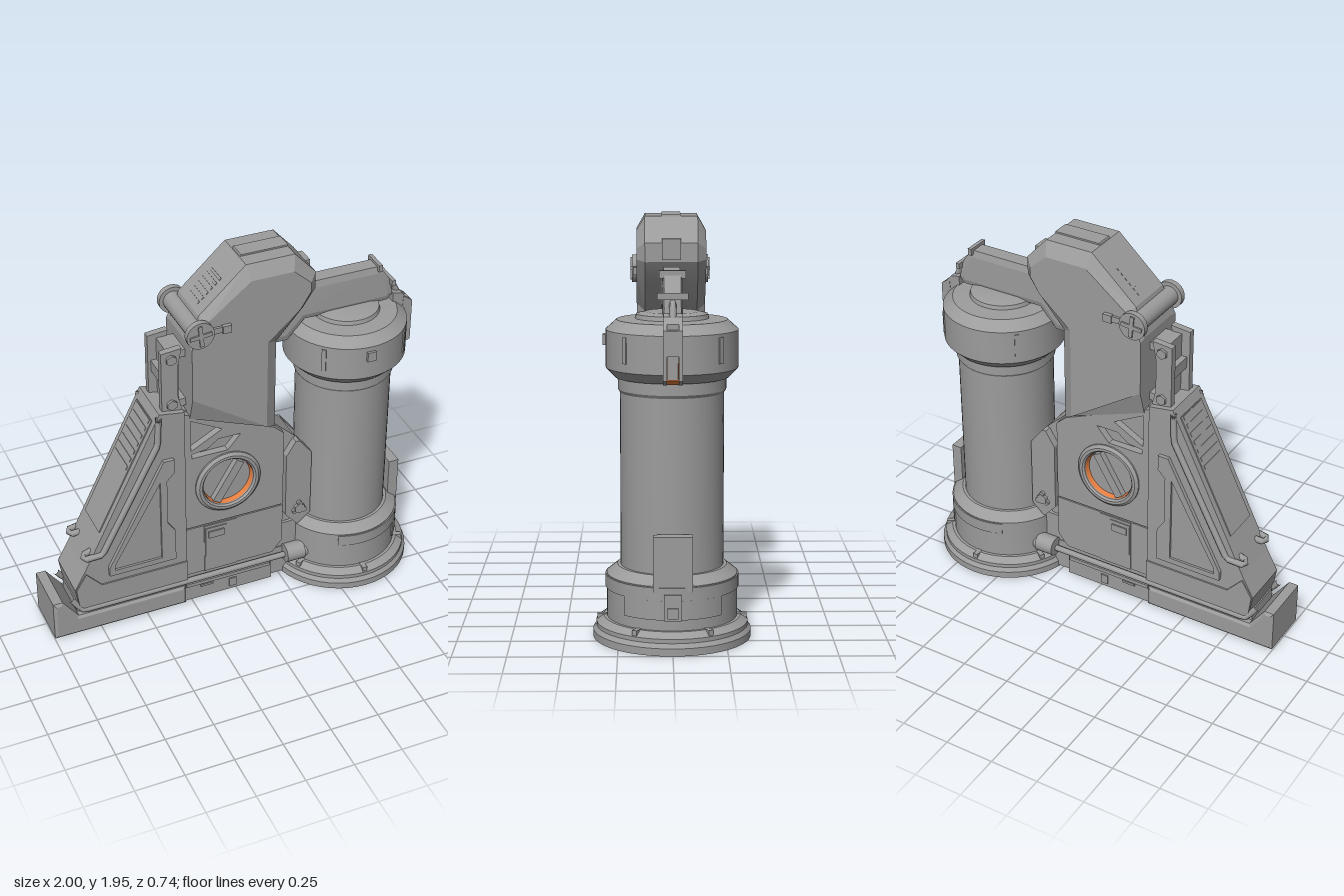
import * as THREE from 'three';
import { toCreasedNormals } from 'three/addons/utils/BufferGeometryUtils.js';

export function createModel() {
  const model = new THREE.Group();
  const grey = new THREE.MeshStandardMaterial({ color: 0x9c9c9c });
  grey.name = 'grey metal';
  const orange = new THREE.MeshStandardMaterial({ color: 0xf08444, side: THREE.DoubleSide });
  orange.name = 'orange glow';

  const add = (name, geo, mat = grey) => {
    const m = new THREE.Mesh(geo, mat);
    m.name = name;
    model.add(m);
  };
  const V = (p) => p.map(([x, y]) => new THREE.Vector2(x, y));
  // flat outline extruded between two depths
  const prism = (pts, z0, z1, holes = []) => {
    const s = new THREE.Shape(V(pts));
    s.holes = holes.map((h) => new THREE.Path(V(h)));
    return new THREE.ExtrudeGeometry(s, { depth: z1 - z0, bevelEnabled: false }).translate(0, 0, z0);
  };
  // outline with both faces tapering to an inner outline
  const taper = (outer, inner, z0, z1) => {
    const rings = [[inner, -z1], [outer, -z0], [outer, z0], [inner, z1]];
    const n = outer.length, pos = [], idx = [];
    rings.forEach(([r, z]) => r.forEach(([x, y]) => pos.push(x, y, z)));
    for (let k = 0; k < 3; k++) for (let i = 0; i < n; i++) {
      const a = k * n + i, b = k * n + (i + 1) % n;
      idx.push(a, b, b + n, a, b + n, a + n);
    }
    for (const [a, b, c] of THREE.ShapeUtils.triangulateShape(V(inner), [])) {
      idx.push(a, c, b, a + 3 * n, b + 3 * n, c + 3 * n);
    }
    const g = new THREE.BufferGeometry();
    g.setAttribute('position', new THREE.Float32BufferAttribute(pos, 3));
    g.setIndex(idx);
    return toCreasedNormals(g, 0.2);
  };
  const box = (x0, x1, y0, y1, z0, z1) =>
    new THREE.BoxGeometry(x1 - x0, y1 - y0, z1 - z0).translate((x0 + x1) / 2, (y0 + y1) / 2, (z0 + z1) / 2);
  const discZ = (r, x, y, z, len, sides = 24) =>
    new THREE.CylinderGeometry(r, r, len, sides).rotateX(Math.PI / 2).translate(x, y, z);
  const pipe = (pts, r) => {
    const path = new THREE.CurvePath();
    const p = pts.map((q) => new THREE.Vector3(...q));
    for (let i = 1; i < p.length; i++) path.add(new THREE.LineCurve3(p[i - 1], p[i]));
    return new THREE.TubeGeometry(path, 40, r, 8);
  };
  const sides = (fn) => [1, -1].forEach((s) => fn(s, (a, b) => (s > 0 ? [a, b] : [-b, -a])));

  // Tank, turned around its own axis
  const TX = 0.63;
  const tank = [[0, 0], [0.37, 0], [0.37, 0.035], [0.355, 0.055], [0.355, 0.075], [0.32, 0.1], [0.305, 0.1],
    [0.305, 0.305], [0.255, 0.345], [0.24, 0.345], [0.24, 1.155], [0.25, 1.17], [0.25, 1.225], [0.262, 1.225],
    [0.305, 1.27], [0.305, 1.445], [0.255, 1.49], [0.17, 1.495], [0.165, 1.515], [0.12, 1.525], [0, 1.525]];
  add('tank', toCreasedNormals(new THREE.LatheGeometry(V(tank), 48), 0.5).translate(TX, 0, 0));
  for (let i = 0; i < 4; i++) {
    const a = Math.PI / 4 + (i * Math.PI) / 2;
    add('capTab', new THREE.BoxGeometry(0.02, 0.12, 0.022).translate(0.3, 1.37, 0).rotateY(a).translate(TX, 0, 0));
  }
  for (let i = 0; i < 6; i++) {
    const a = Math.PI / 6 + (i * Math.PI) / 3;
    add('baseLug', new THREE.BoxGeometry(0.05, 0.045, 0.025).translate(0.325, 0.08, 0).rotateY(a).translate(TX, 0, 0));
  }
  add('capLatch', box(0.6, 0.645, 1.37, 1.42, 0.29, 0.318));
  // collar armour, wrapping the outer half of the tank foot
  const wrap = (name, r, y0, y1, half) => {
    const s = new THREE.Shape();
    s.absarc(0, 0, r, -half, half, false);
    s.absarc(0, 0, 0.29, half, -half, true);
    add(name, toCreasedNormals(new THREE.ExtrudeGeometry(s, { depth: y1 - y0, bevelEnabled: false, curveSegments: 20 })
      .rotateX(-Math.PI / 2).translate(TX, y0, 0), 0.5));
  };
  wrap('collarArmour', 0.311, 0.15, 0.24, 0.8);
  wrap('collarArmourUpper', 0.311, 0.24, 0.3, 2.0);
  add('tankBackPlate', box(0.88, 0.934, 0.28, 0.535, -0.09, 0.09));
  add('tankButton', box(0.92, 0.95, 0.15, 0.27, -0.04, 0.04));
  add('tankButtonLip', box(0.945, 0.958, 0.16, 0.21, -0.025, 0.025));

  // Foot and base
  const foot = [[-1, 0.01], [-0.29, 0.01], [-0.29, 0.12], [-0.87, 0.12], [-0.95, 0.23], [-1, 0.23]];
  const footIn = [[-0.985, 0.025], [-0.305, 0.025], [-0.305, 0.105], [-0.88, 0.105], [-0.957, 0.215], [-0.985, 0.215]];
  add('foot', taper(foot, footIn, 0.135, 0.145));
  add('baseBlock', box(-0.29, 0.2, 0, 0.11, -0.115, 0.115));
  add('baseNeck', box(-0.87, 0.3, 0.1, 0.18, -0.105, 0.105));
  add('baseLink', box(0.19, 0.45, 0.01, 0.33, -0.1, 0.1));
  sides((s, z) => {
    add('baseRail', box(-0.28, 0.19, 0.09, 0.11, ...z(0.11, 0.124)));
    add('baseCatch', box(-0.04, 0.0, 0.02, 0.07, ...z(0.11, 0.122)));
    add('baseSlot', box(-0.2, -0.13, 0.07, 0.082, ...z(0.11, 0.122)));
  });

  // Sloping wedge
  const wedge = [[-0.86, 0.16], [-0.28, 0.16], [-0.28, 1.2], [-0.41, 1.22], [-0.82, 0.39], [-0.88, 0.28]];
  add('wedge', prism(wedge, -0.132, 0.132));
  const panel = [[-0.7, 0.33], [-0.345, 0.33], [-0.345, 0.51], [-0.385, 0.57], [-0.385, 0.83], [-0.345, 0.87],
    [-0.345, 0.95], [-0.4, 0.95], [-0.7, 0.38]];
  const panelHole = [[-0.67, 0.36], [-0.42, 0.36], [-0.42, 0.83], [-0.67, 0.39]];
  sides((s, z) => {
    add('wedgePanelFrame', prism(panel, ...z(0.125, 0.152), [panelHole]));
    add('wedgePanelFloor', prism(panelHole, ...z(0.125, 0.14)));
    add('wedgeSkirt', prism([[-0.86, 0.16], [-0.28, 0.16], [-0.28, 0.28], [-0.74, 0.28], [-0.82, 0.37], [-0.875, 0.28]], ...z(0.125, 0.14)));
    // handrail running down the slope
    add('handrail', pipe([[-0.41, 1.15, s * 0.11], [-0.415, 1.2, s * 0.132], [-0.425, 1.05, s * 0.138], [-0.73, 0.47, s * 0.138],
      [-0.82, 0.46, s * 0.13], [-0.82, 0.46, s * 0.09], [-0.76, 0.47, s * 0.08]], 0.016));
  });
  const onSlope = (name, x, y, len, thick, wide, ang) =>
    add(name, new THREE.BoxGeometry(len, thick, wide).rotateZ(ang).translate(x, y, 0));
  const slope = Math.atan2(0.83, 0.41);
  const wy = (x) => 1.22 + ((x + 0.41) * 0.83) / 0.41;
  onSlope('slopePanel', -0.58, wy(-0.58), 0.66, 0.012, 0.2, slope);
  for (let i = 0; i < 7; i++) onSlope('slopeVent', -0.56 + i * 0.02, wy(-0.56 + i * 0.02), 0.02, 0.018, 0.17, slope);

  // Central body: core with cut-out skins
  const body = [[-0.29, 0.17], [0.26, 0.17], [0.26, 0.28], [0.33, 0.35], [0.33, 0.86], [0.2, 0.98], [-0.29, 1.19]];
  add('bodyCore', prism(body, -0.085, 0.085));
  const triangle = [[-0.245, 0.95], [-0.08, 1.04], [-0.245, 1.13]];
  const slot = [[-0.24, 0.905], [-0.05, 0.905], [0.02, 0.985], [-0.1, 0.985], [-0.16, 0.94], [-0.24, 0.93]];
  const boss = [[0.27, 0.4], [0.34, 0.32], [0.41, 0.38], [0.41, 0.76], [0.34, 0.85], [0.32, 0.85], [0.27, 0.77]];
  const PX = -0.05, PY = 0.715;
  const port = Array.from({ length: 40 }, (_, i) => {
    const a = (i * Math.PI) / 20;
    return [PX + 0.15 * Math.cos(a), PY + 0.15 * Math.sin(a)];
  });
  sides((s, z) => {
    add('bodySkin', prism([[-0.285, 0.475], [0.255, 0.475], [0.255, 0.92], [0.2, 0.97], [-0.285, 1.18]], ...z(0.08, 0.122), [triangle, slot, port]));
    add('bodySkinLower', prism([[-0.285, 0.175], [0.2, 0.175], [0.255, 0.24], [0.255, 0.468], [-0.285, 0.468]], ...z(0.08, 0.122)));
    add('sideBoss', prism(boss, ...z(0.06, 0.125)));
    add('bossBolt', discZ(0.03, 0.345, 0.43, s * 0.13, 0.025, 6));
    for (let i = 0; i < 3; i++) {
      const a = Math.PI / 2 + (i * Math.PI * 2) / 3;
      add('bossBoltLobe', discZ(0.014, 0.345 + 0.03 * Math.cos(a), 0.43 + 0.03 * Math.sin(a), s * 0.13, 0.02, 8));
    }
    // service hatch
    add('hatch', box(-0.18, 0.0, 0.175, 0.465, ...z(0.115, 0.127)));
    add('hatchCover', box(-0.175, -0.06, 0.27, 0.45, ...z(0.12, 0.132)));
    add('hatchHandle', box(-0.16, -0.075, 0.39, 0.43, ...z(0.125, 0.139)));
    // recessed round window: glowing inner wall and slanted bar
    const ring = new THREE.LatheGeometry(V([[0.136, 0.085], [0.175, 0.085], [0.175, 0.13], [0.16, 0.142], [0.145, 0.142], [0.136, 0.132], [0.136, 0.085]]), 40);
    add('windowRing', toCreasedNormals(ring, 0.5).rotateX((s * Math.PI) / 2).translate(PX, PY, 0));
    add('windowGlow', new THREE.CylinderGeometry(0.134, 0.128, 0.028, 40, 1, true)
      .rotateX((s * Math.PI) / 2).translate(PX, PY, s * 0.113), orange);
    add('windowDisc', discZ(0.135, PX, PY, s * 0.09, 0.02, 40));
    add('windowBar', new THREE.BoxGeometry(0.045, 0.25, 0.04).rotateZ(-0.54).translate(PX, PY, s * 0.113));
    // floor pipe and its coupling
    add('floorPipe', pipe([[-0.9, 0.22, s * 0.12], [-0.85, 0.15, s * 0.13], [-0.84, 0.145, s * 0.132], [0.28, 0.145, s * 0.132]], 0.016));
    for (const [r, x, l] of [[0.05, 0.315, 0.1], [0.042, 0.37, 0.03], [0.025, 0.42, 0.09]]) {
      add('pipeCoupling', new THREE.CylinderGeometry(r, r, l, 20).rotateZ(Math.PI / 2).translate(x, 0.155, s * 0.135));
    }
  });

  // Head
  const head = [[-0.25, 1.15], [0.2, 0.98], [0.2, 1.48], [0.34, 1.64], [0.4, 1.73], [0.4, 1.82], [0.29, 1.94],
    [0.04, 1.94], [-0.2, 1.72], [-0.25, 1.57]];
  const headIn = [[-0.25, 1.28], [0.14, 1.02], [0.14, 1.51], [0.31, 1.66], [0.36, 1.74], [0.36, 1.79], [0.27, 1.87],
    [0.05, 1.87], [-0.18, 1.69], [-0.25, 1.56]];
  add('head', taper(head, headIn, 0.125, 0.165));
  add('headCrest', prism([[0.02, 1.9], [0.3, 1.9], [0.29, 1.948], [0.05, 1.948]], -0.045, 0.045));
  add('headRearPlate', box(0.36, 0.408, 1.74, 1.84, -0.045, 0.045));
  const hs = Math.atan2(0.22, 0.24);
  for (let i = 0; i < 6; i++) onSlope('headVent', -0.17 + i * 0.022, 1.746 + i * 0.0202, 0.014, 0.01, 0.12, hs);
  // hinge with cross-slotted knobs
  add('hinge', discZ(0.05, -0.215, 1.65, 0, 0.34));
  sides((s, z) => {
    add('hingeKnob', discZ(0.07, -0.215, 1.65, s * 0.175, 0.03));
    for (const a of [0, Math.PI / 2]) {
      add('knobCross', new THREE.BoxGeometry(0.11, 0.02, 0.02).rotateZ(a + 0.1).translate(-0.215, 1.65, s * 0.188));
    }
    add('hingeArm', box(-0.15, -0.08, 1.635, 1.665, ...z(0.16, 0.178)));
    add('hingeClip', box(-0.1, -0.055, 1.63, 1.67, ...z(0.16, 0.185)));
    // rear bracket
    add('bracketPlate', prism([[-0.385, 1.2], [-0.28, 1.2], [-0.3, 1.28], [-0.3, 1.45], [-0.28, 1.55], [-0.385, 1.54]], ...z(0.07, 0.105)));
    for (const y of [1.245, 1.5]) add('bracketBolt', discZ(0.027, -0.335, y, s * 0.11, 0.02, 6));
  });
  add('bracketSpine', box(-0.34, -0.285, 1.18, 1.52, -0.075, 0.075));
  add('bracketRung', box(-0.37, -0.33, 1.34, 1.4, -0.08, 0.08));
  for (const y of [1.2, 1.48]) add('bracketMount', box(-0.3, -0.24, y, y + 0.04, -0.075, 0.075));

  // Bridge from head to tank cap
  const bridge = [[0.19, 1.41], [0.3, 1.41], [0.39, 1.51], [0.84, 1.51], [0.865, 1.54], [0.85, 1.62], [0.79, 1.71], [0.42, 1.71], [0.19, 1.5]];
  const bridgeIn = [[0.2, 1.44], [0.29, 1.44], [0.38, 1.535], [0.83, 1.535], [0.84, 1.55], [0.825, 1.61], [0.78, 1.675], [0.44, 1.675], [0.2, 1.47]];
  add('bridge', taper(bridge, bridgeIn, 0.038, 0.046));
  add('bridgeClampTop', box(0.775, 0.795, 1.69, 1.725, -0.06, 0.06));
  add('bridgeClampEnd', box(0.845, 0.865, 1.6, 1.63, -0.07, 0.07));
  add('bridgeCable', pipe([[0.84, 1.59, 0], [0.89, 1.56, 0], [0.92, 1.5, 0]], 0.016));
  // hook with a recessed, glowing slot
  const hook = [[0.89, 1.24], [0.935, 1.235], [0.945, 1.25], [0.945, 1.5], [0.92, 1.53], [0.87, 1.54], [0.87, 1.47], [0.89, 1.45]];
  add('hook', prism(hook, -0.042, 0.042));
  sides((s, z) => {
    add('hookRail', prism([[0.91, 1.222], [0.978, 1.25], [0.978, 1.475], [0.93, 1.51]], ...z(0.026, 0.044)));
    add('hookGlow', box(0.945, 0.97, 1.255, 1.36, ...z(0.0235, 0.0262)), orange);
  });
  add('hookGlowFoot', prism([[0.915, 1.226], [0.968, 1.248], [0.968, 1.256], [0.915, 1.236]], -0.026, 0.026), orange);
  add('hookCover', box(0.93, 0.978, 1.36, 1.475, -0.026, 0.026));
  // strut between head and body
  add('strut', new THREE.CylinderGeometry(0.015, 0.015, 0.5, 12).translate(0.205, 1.2, 0.06));
  add('strutSleeve', new THREE.CylinderGeometry(0.024, 0.024, 0.13, 12).translate(0.2, 1.08, 0.06));

  return model;
}
